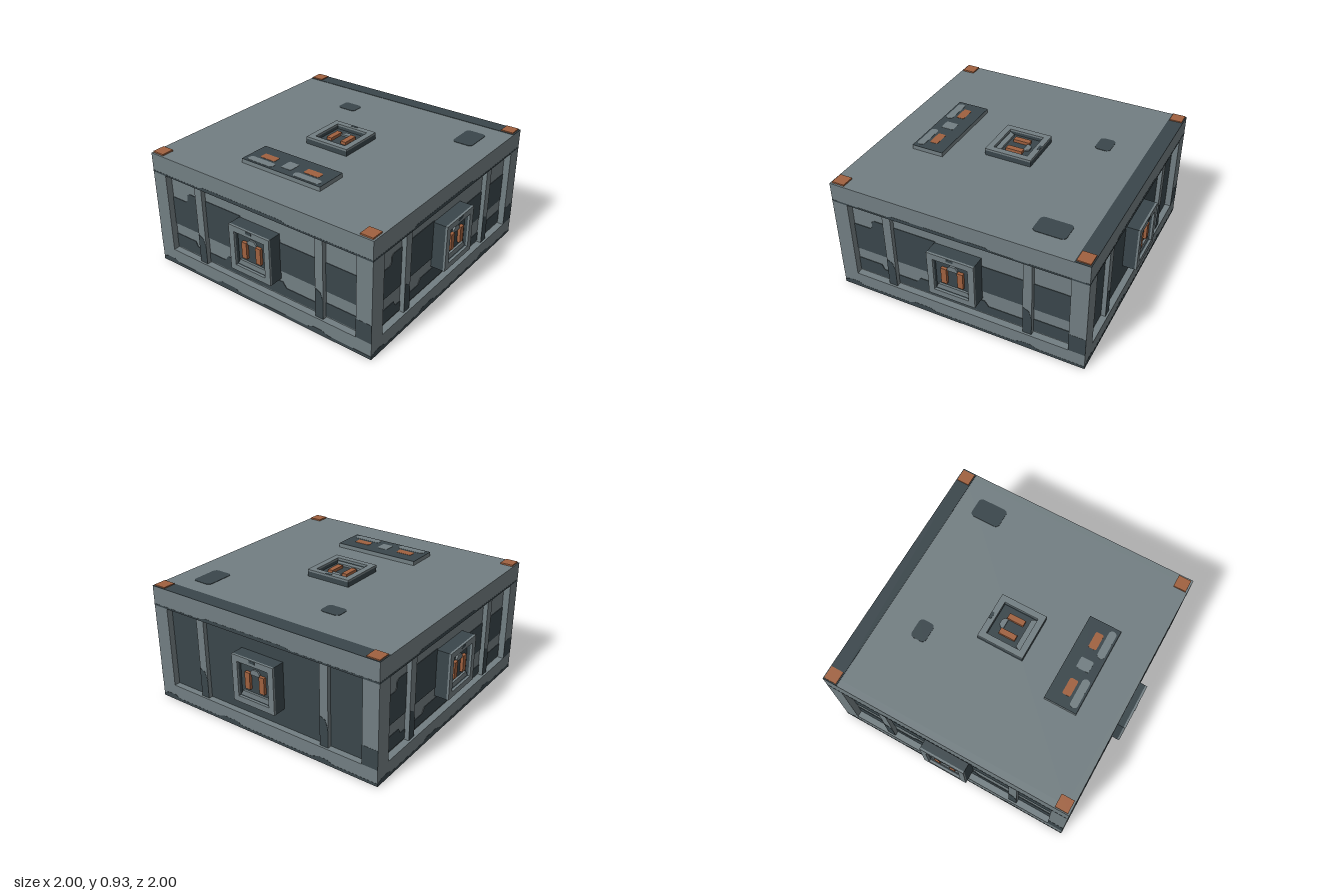
import * as THREE from 'three';

const mat = (name, color) => {
  const m = new THREE.MeshStandardMaterial({ color });
  m.name = name;
  return m;
};

export function createModel() {
  const light = mat('steelGrey', 0x727e82);
  const dark = mat('darkSlate', 0x3a464b);
  const copper = mat('copper', 0xa0613f);

  const add = (parent, name, geometry, material) => {
    const m = new THREE.Mesh(geometry, material);
    m.name = name;
    parent.add(m);
    return m;
  };
  // Box given by its limits on each axis
  const box = (parent, name, material, [x0, x1], [y0, y1], [z0, z1]) => {
    const m = add(parent, name, new THREE.BoxGeometry(x1 - x0, y1 - y0, z1 - z0), material);
    m.position.set((x0 + x1) / 2, (y0 + y1) / 2, (z0 + z1) / 2);
    return m;
  };
  const rect = (C, x0, x1, y0, y1) =>
    new C([[x0, y0], [x1, y0], [x1, y1], [x0, y1]].map(p => new THREE.Vector2(...p)));
  const poly = pts => new THREE.Shape(pts.map(p => new THREE.Vector2(...p)));
  const rounded = (x0, x1, y0, y1, r = 0.03) => {
    const s = new THREE.Shape();
    s.absarc(x1 - r, y1 - r, r, 0, Math.PI / 2);
    s.absarc(x0 + r, y1 - r, r, Math.PI / 2, Math.PI);
    s.absarc(x0 + r, y0 + r, r, Math.PI, Math.PI * 1.5);
    s.absarc(x1 - r, y0 + r, r, Math.PI * 1.5, Math.PI * 2);
    return s;
  };
  // Extruded slab or thin painted plate, growing along +z from z
  const plate = (parent, name, material, shape, z, depth = 0.004) => {
    const m = add(parent, name,
      new THREE.ExtrudeGeometry(shape, { depth, bevelEnabled: false, curveSegments: 4 }), material);
    m.position.z = z;
    return m;
  };
  const holed = (outer, inner) => {
    const s = rect(THREE.Shape, ...outer);
    s.holes.push(rect(THREE.Path, ...inner));
    return s;
  };

  // Square connector port, facing +z, base at z = 0, rim at z = 0.06
  const makePort = (base = 0) => {
    const g = new THREE.Group();
    g.name = 'connectorPort';
    const outer = [-0.175, 0.175, -0.175, 0.175], inner = [-0.13, 0.13, -0.13, 0.13];
    plate(g, 'portBack', dark, rect(THREE.Shape, ...outer), base, 0.02 - base);
    plate(g, 'portWall', dark, holed(outer, inner), 0.02, 0.023);
    plate(g, 'portRim', light, holed(outer, inner), 0.043, 0.015);
    plate(g, 'rimMark', dark, rect(THREE.Shape, -0.025, 0.025, 0.152, 0.172), 0.058, 0.002);
    plate(g, 'portSill', light, poly([[-0.13, -0.13], [0.13, -0.13], [0.11, -0.09], [-0.11, -0.09]]), 0.02, 0.015);
    plate(g, 'portTab', light, poly([[-0.038, 0.05], [0.038, 0.05], [0.038, 0.07], [0.02, 0.09], [-0.02, 0.09], [-0.038, 0.07]]), 0.02, 0.012);
    for (const s of [-1, 1])
      box(g, 'portContact', copper, [s * 0.061 - 0.021, s * 0.061 + 0.021], [-0.062, 0.062], [0.02, 0.042]);
    return g;
  };

  // One side wall, facing +z
  const makeWall = solidPanel => {
    const g = new THREE.Group();
    g.name = 'sideWall';
    plate(g, 'wallFrame', light, holed([-0.94, 0.94, 0.004, 0.88], [-0.82, 0.82, 0.125, 0.735]), 0.89, 0.05);
    if (solidPanel) {
      plate(g, 'panelPaint', dark, rect(THREE.Shape, -0.82, 0.82, 0.125, 0.735), 0.89);
    } else {
      plate(g, 'panelUpperBand', dark, poly([[-0.82, 0.33], [0.82, 0.33], [0.82, 0.55], [-0.15, 0.55],
        [-0.17, 0.625], [-0.65, 0.625], [-0.67, 0.61], [-0.67, 0.57], [-0.69, 0.55], [-0.82, 0.55]]), 0.89);
      plate(g, 'panelLowerBand', dark, poly([[-0.82, 0.135], [0.82, 0.135], [0.82, 0.24], [0.54, 0.24], [0.52, 0.205],
        [0.22, 0.205], [0.19, 0.245], [-0.31, 0.245], [-0.34, 0.205], [-0.61, 0.205], [-0.63, 0.245], [-0.82, 0.245]]), 0.89);
    }
    // Upright ribs with worn feet
    for (const x of [-0.523, 0.52]) {
      box(g, 'rib', light, [x - 0.032, x + 0.032], [0.125, 0.735], [0.89, 0.925]);
      plate(g, 'ribFoot', dark, poly([[x - 0.032, 0.127], [x + 0.032, 0.127], [x + 0.032, 0.27],
        [x + 0.012, 0.33], [x - 0.032, 0.35]]), 0.924, 0.003);
    }
    // Painted edge lines on the frame
    plate(g, 'topLine', dark, poly([[-0.94, 0.735], [0.94, 0.735], [0.94, 0.748], [0.27, 0.748], [0.23, 0.762],
      [-0.46, 0.762], [-0.5, 0.748], [-0.94, 0.748]]), 0.939, 0.002);
    plate(g, 'bottomLine', dark, poly([[-0.94, 0.004], [0.94, 0.004], [0.94, 0.026], [0.6, 0.026], [0.55, 0.045],
      [0.48, 0.045], [0.43, 0.026], [-0.17, 0.026], [-0.22, 0.045], [-0.34, 0.045], [-0.39, 0.026], [-0.78, 0.026],
      [-0.82, 0.045], [-0.89, 0.045], [-0.94, 0.026]]), 0.939, 0.002);
    plate(g, 'postPatch', dark, poly([[0.82, 0.127], [0.94, 0.127], [0.94, 0.27], [0.82, 0.27]]), 0.939, 0.002);
    const port = makePort(-0.05);
    port.position.set(0, 0.44, 0.94);
    g.add(port);
    return g;
  };

  const model = new THREE.Group();
  model.name = 'equipmentCrate';
  box(model, 'core', light, [-0.89, 0.89], [0.08, 0.88], [-0.89, 0.89]);
  for (let i = 0; i < 4; i++) {
    const wall = makeWall(i === 2);
    wall.rotation.y = i * Math.PI / 2;
    model.add(wall);
  }

  // Top: local x, y, z map to x, -z, up
  const top = new THREE.Group();
  top.name = 'topDetails';
  top.rotation.x = -Math.PI / 2;
  top.position.y = 0.88;
  model.add(top);
  top.add(makePort());
  top.children[0].position.z = -0.006;
  plate(top, 'rearStrip', dark, rect(THREE.Shape, -0.94, 0.94, 0.83, 0.94), 0, 0.003);
  plate(top, 'smallPatch', dark, rounded(-0.39, -0.24, 0.475, 0.59), 0, 0.003);
  plate(top, 'largePatch', dark, rounded(0.63, 0.785, 0.475, 0.705), 0, 0.003);
  for (const x of [-0.885, 0.88]) for (const y of [-0.88, 0.885])
    box(top, 'cornerPad', copper, [x - 0.047, x + 0.047], [y - 0.047, y + 0.047], [0, 0.011]);
  // Control plate
  box(top, 'controlPlate', light, [-0.335, 0.335], [-0.67, -0.43], [0, 0.03]);
  plate(top, 'controlFace', dark, rect(THREE.Shape, -0.335, 0.335, -0.67, -0.43), 0.03, 0.002);
  plate(top, 'controlCentre', light, rounded(-0.043, 0.043, -0.61, -0.515, 0.01), 0.032, 0.002);
  for (const s of [-1, 1]) {
    const x = s * 0.188, p = s * 0.197;
    plate(top, 'controlKey', copper, rounded(x - 0.063, x + 0.063, -0.58, -0.52, 0.012), 0.032, 0.002);
    plate(top, 'controlPad', light, rounded(p - 0.11, p + 0.11, -0.655, -0.6, 0.026), 0.032, 0.002);
  }

  // Underside: local x, y, z map to x, z, down
  const under = new THREE.Group();
  under.name = 'underside';
  under.rotation.x = Math.PI / 2;
  model.add(under);
  const H = 0.45;
  plate(under, 'basePlate', light, holed([-0.89, 0.89, -0.89, 0.89], [-H, H, -H, H]), -0.08, 0.076);
  plate(under, 'basePaint', dark, poly([[-0.94, -0.03], [-H, -0.03], [-H, 0.61], [0.41, 0.61], [H, 0.57],
    [H, -0.03], [0.94, -0.03], [0.94, 0.94], [-0.94, 0.94]]), -0.004);
  plate(under, 'basePatch', dark, rounded(0.45, 0.66, -0.64, -0.49), -0.004);
  plate(under, 'basePatch', dark, rounded(-0.89, -0.71, -0.66, -0.45), -0.004);
  plate(under, 'baseSlot', dark, rounded(-0.4, 0.0, -0.81, -0.77, 0.015), -0.004);
  plate(under, 'baseSlot', dark, rounded(-0.37, 0.03, 0.53, 0.57, 0.015), -0.004);
  // Recessed lock with stepped rim, corner contacts and radial arms
  plate(under, 'lockRim', light, holed([-H, H, -H, H], [-0.39, 0.39, -0.39, 0.39]), -0.08, 0.04);
  plate(under, 'lockFloor', dark, rect(THREE.Shape, -0.39, 0.39, -0.39, 0.39), -0.08, 0.004);
  for (let i = 0; i < 4; i++) {
    const arm = new THREE.Group();
    arm.name = 'lockArm';
    arm.rotation.z = i * Math.PI / 2;
    under.add(arm);
    plate(arm, 'armWedge', light, poly([[0.09, -0.07], [0.24, -0.16], [0.36, -0.16], [0.36, 0.1], [0.24, 0.1], [0.09, 0.06]]), -0.078, 0.04);
    plate(arm, 'armPaint', dark, poly([[0.25, -0.1], [0.36, -0.1], [0.36, 0.04], [0.25, 0.04]]), -0.039, 0.003);
    box(arm, 'lockContact', copper, [0.28, 0.37], [0.28, 0.37], [-0.08, -0.035]);
  }
  box(under, 'lockCore', copper, [-0.09, 0.09], [-0.09, 0.09], [-0.08, -0.045]);
  return model;
}
